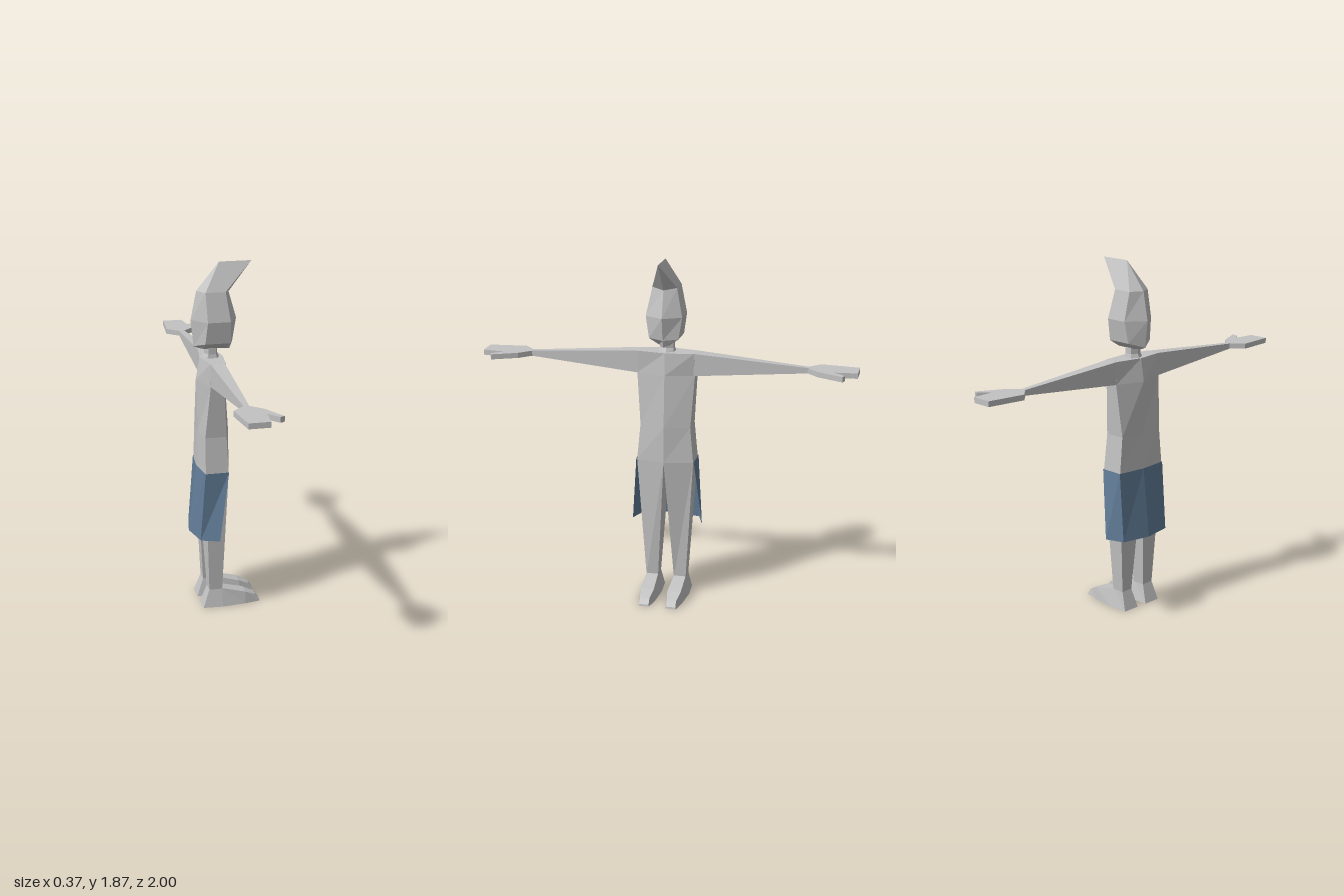
import * as THREE from 'three';

const grey = new THREE.MeshStandardMaterial({ color: 0xc2c2c2 });
grey.name = 'pale grey';
const blue = new THREE.MeshStandardMaterial({ color: 0x627d98, side: THREE.DoubleSide });
blue.name = 'slate blue';

// Joins cross-sections (counter-clockwise seen from the far end) into a faceted skin.
// side = -1 mirrors the part across z.
function loft(rings, { side = 1, closed = true } = {}) {
  const rs = rings.map((r) => {
    const m = r.map(([x, y, z]) => new THREE.Vector3(x, y, z * side));
    return side < 0 ? m.reverse() : m;
  });
  const pos = [];
  const tri = (a, b, c) => {
    if (new THREE.Triangle(a, b, c).getArea() > 1e-7) for (const p of [a, b, c]) pos.push(p.x, p.y, p.z);
  };
  const n = rs[0].length;
  for (let k = 0; k < rs.length - 1; k++) {
    for (let i = 0; i < (closed ? n : n - 1); i++) {
      const j = (i + 1) % n, a = rs[k], b = rs[k + 1];
      tri(a[i], a[j], b[j]);
      tri(a[i], b[j], b[i]);
    }
  }
  if (closed) {
    const lo = rs[0], hi = rs[rs.length - 1];
    for (let i = 1; i < n - 1; i++) {
      tri(lo[0], lo[i + 1], lo[i]);
      tri(hi[0], hi[i], hi[i + 1]);
    }
  }
  const g = new THREE.BufferGeometry();
  g.setAttribute('position', new THREE.Float32BufferAttribute(pos, 3));
  g.computeVertexNormals();
  return g;
}

// Six-sided level section: ridge at back and front, flat panel on each side
function hex(y, back, sideBack, sideFront, front, w, yBack = y, yFront = y) {
  return [
    [back, yBack, 0], [sideBack, y, w], [sideFront, y, w],
    [front, yFront, 0], [sideFront, y, -w], [sideBack, y, -w],
  ];
}

// Four-sided sections for limbs and feet
const armSection = (z, x0, x1, y0, y1) => [[x0, y0, z], [x1, y0, z], [x1, y1, z], [x0, y1, z]];
const footSection = (xb, b0, b1, xt, yt, t0, t1) => [[xb, 0, b0], [xt, yt, t0], [xt, yt, t1], [xb, 0, b1]];

export function createModel() {
  const model = new THREE.Group();
  model.name = 'figure';
  const add = (name, geometry, material = grey) => {
    const mesh = new THREE.Mesh(geometry, material);
    mesh.name = name;
    model.add(mesh);
  };

  // Torso, hips to shoulders
  add('torso', loft([
    hex(0.775, -0.142, -0.127, -0.005, 0.03, 0.153),
    hex(0.97, -0.135, -0.125, -0.012, 0.028, 0.135),
    hex(1.25, -0.145, -0.1, -0.03, 0.01, 0.155),
    hex(1.37, -0.125, -0.1, -0.02, 0.0, 0.15),
  ]));

  // Neck
  add('neck', loft([
    hex(1.36, -0.115, -0.095, -0.035, -0.015, 0.042),
    hex(1.39, -0.1, -0.085, -0.045, -0.03, 0.035),
    hex(1.44, -0.1, -0.085, -0.045, -0.03, 0.035),
  ]));

  // Head with a swept crest ending in a point
  add('head', loft([
    hex(1.42, -0.13, -0.11, 0.01, 0.035, 0.03, 1.42, 1.41),
    hex(1.455, -0.155, -0.11, 0.025, 0.05, 0.078, 1.43, 1.45),
    hex(1.57, -0.17, -0.1, 0.02, 0.07, 0.096),
    hex(1.72, -0.14, -0.105, 0.0, 0.03, 0.065, 1.72, 1.71),
    hex(1.865, -0.02, -0.02, 0.15, 0.15, 0),
  ]));

  for (const side of [1, -1]) {
    const tag = side > 0 ? 'left' : 'right';

    // Arm, tapering to the wrist
    add(tag + 'Arm', loft([
      armSection(0.148, -0.1, -0.025, 1.25, 1.37),
      armSection(0.75, -0.078, -0.05, 1.298, 1.325),
    ], { side }));

    // Flat hand with thumb
    const outline = [
      [-0.078, 0.74], [-0.14, 0.8], [-0.12, 1], [-0.012, 1], [0, 0.88],
      [0.047, 0.94], [0.07, 0.93], [0.008, 0.8], [-0.05, 0.74],
    ].map(([x, z]) => new THREE.Vector2(x, z * side));
    const hand = new THREE.ExtrudeGeometry(new THREE.Shape(outline), { depth: 0.028, bevelEnabled: false });
    hand.rotateX(Math.PI / 2).translate(0, 1.325, 0);
    add(tag + 'Hand', hand);

    // Leg, half the hip section down to the ankle
    add(tag + 'Leg', loft([
      [[-0.1, 0.09, 0.045], [-0.1, 0.09, 0.11], [-0.03, 0.09, 0.11], [-0.03, 0.09, 0.045]],
      [[-0.142, 0.775, 0], [-0.127, 0.775, 0.153], [-0.005, 0.775, 0.153], [0.03, 0.775, 0]],
    ], { side }));

    // Foot, heel to toe
    add(tag + 'Foot', loft([
      footSection(-0.135, 0.03, 0.125, -0.1, 0.1, 0.045, 0.11),
      footSection(-0.03, 0.022, 0.132, -0.03, 0.1, 0.045, 0.11),
      footSection(0.1, 0.03, 0.12, 0.1, 0.066, 0.038, 0.112),
      footSection(0.175, 0.045, 0.105, 0.16, 0.038, 0.048, 0.1),
      footSection(0.182, 0.045, 0.105, 0.18, 0.01, 0.048, 0.1),
    ], { side }));
  }

  // Skirt wrapped round the back and sides, open at the front
  const wrap = (y, back, xb, zb, xf, zf) => [[xf, y, -zf], [xb, y, -zb], [back, y, 0], [xb, y, zb], [xf, y, zf]];
  add('skirt', loft([
    wrap(0.41, -0.188, -0.157, 0.157, -0.06, 0.193),
    wrap(0.78, -0.146, -0.129, 0.157, -0.003, 0.157),
  ], { closed: false }), blue);

  return model;
}
